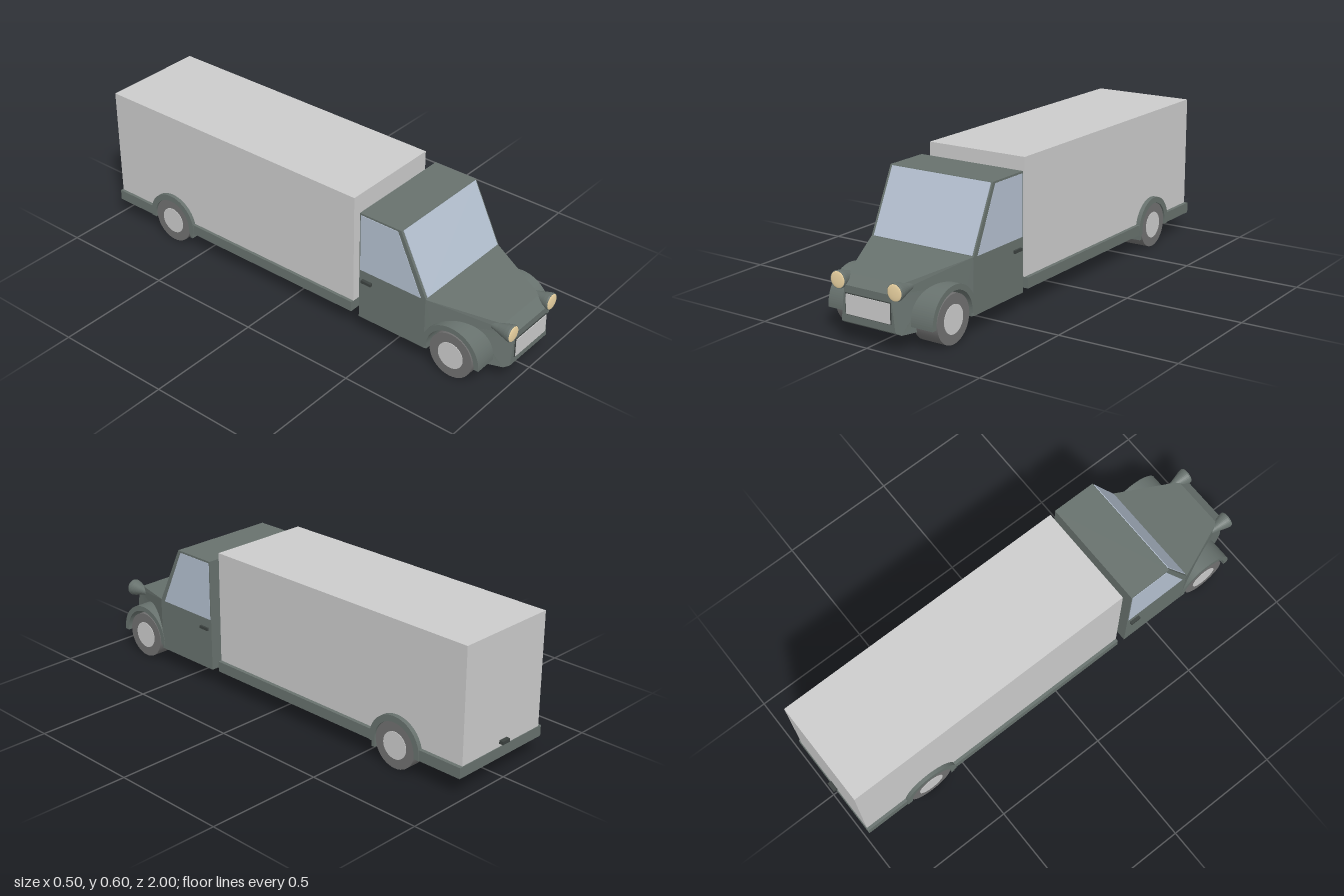
import * as THREE from 'three';

const mat = (color, extra = {}) => new THREE.MeshStandardMaterial({ color, ...extra });
const green = mat(0x67716d, { flatShading: true });
const glass = mat(0xb4c0d0);
const grey = mat(0xcccccc);
const pale = mat(0xf8f8f8);
const rubber = mat(0x707070);
const amber = mat(0xeed6a4);
const dark = mat(0x3c4240);

const WHEEL_Y = 0.098, FRONT_Z = 0.793, REAR_Z = -0.667;

export function createModel() {
  const model = new THREE.Group();

  const add = (name, geometry, material, x = 0, y = 0, z = 0) => {
    const mesh = new THREE.Mesh(geometry, material);
    mesh.name = name;
    mesh.position.set(x, y, z);
    model.add(mesh);
    return mesh;
  };

  // box given by its limits on each axis
  const block = (name, material, [x0, x1], [y0, y1], [z0, z1]) =>
    add(name, new THREE.BoxGeometry(x1 - x0, y1 - y0, z1 - z0), material,
      (x0 + x1) / 2, (y0 + y1) / 2, (z0 + z1) / 2);

  // side profile in (z, y), extruded across x from x0 to x1
  const across = (shape, x0, x1) => {
    const g = new THREE.ExtrudeGeometry(shape, { depth: x1 - x0, bevelEnabled: false, curveSegments: 24 });
    return g.rotateY(-Math.PI / 2).translate(x1, 0, 0);
  };
  const outline = (points) => new THREE.Shape(points.map(([z, y]) => new THREE.Vector2(z, y)));

  // half ring standing over a wheel
  const arch = (z, outer, inner, foot) => {
    const s = new THREE.Shape();
    s.moveTo(z + outer, foot);
    s.lineTo(z + outer, WHEEL_Y);
    s.absarc(z, WHEEL_Y, outer, 0, Math.PI, false);
    s.lineTo(z - outer, foot);
    s.lineTo(z - inner, foot);
    s.lineTo(z - inner, WHEEL_Y);
    s.absarc(z, WHEEL_Y, inner, Math.PI, 0, true);
    s.lineTo(z + inner, foot);
    return s;
  };

  // cargo box in stacked stripes
  const stripes = 10, base = 0.123, step = (0.602 - base) / stripes;
  for (let i = 0; i < stripes; i++) {
    block('cargoStripe', i % 2 ? grey : pale, [-0.227, 0.224],
      [base + i * step, base + (i + 1) * step], [-0.982, 0.315]);
  }

  // bed: centre slab with side rails notched over the rear wheels
  block('bedFloor', green, [-0.125, 0.125], [0.08, 0.125], [-0.985, 0.315]);
  const notch = 0.1;
  for (const x0 of [-0.24, 0.125]) {
    for (const z of [[REAR_Z + notch, 0.315], [-0.985, REAR_Z - notch]]) {
      block('bedRail', green, [x0, x0 + 0.115], [0.08, 0.125], z);
    }
  }
  block('coupling', grey, [-0.075, 0.07], [0.085, 0.115], [0.3, 0.37]);
  block('rearHandle', dark, [-0.03, 0.012], [0.138, 0.152], [-1, -0.98]);

  // cab
  add('cab', across(outline([
    [0.353, 0.075], [0.672, 0.075], [0.672, 0.3], [0.547, 0.558], [0.353, 0.558],
  ]), -0.239, 0.241), green);
  const windscreen = add('windscreen', new THREE.BoxGeometry(0.462, 0.278, 0.004), glass, 0.003, 0.43, 0.61);
  windscreen.rotation.x = -Math.atan2(0.125, 0.258);
  const pane = outline([[0.358, 0.3], [0.648, 0.3], [0.533, 0.55], [0.358, 0.55]]);
  for (const x of [-0.24, 0.238]) add('sideWindow', across(pane, x - 0.001, x + 0.004), glass);
  for (const side of [-1, 1]) {
    block('doorHandle', dark, side < 0 ? [-0.252, -0.236] : [0.236, 0.25], [0.249, 0.261], [0.37, 0.417]);
  }

  // bonnet with a wheel arch through it, narrowing towards the nose and the top
  const hood = new THREE.Shape();
  const well = 0.112;
  hood.moveTo(0.67, 0.075);
  hood.lineTo(FRONT_Z - well, 0.075);
  hood.lineTo(FRONT_Z - well, WHEEL_Y);
  hood.absarc(FRONT_Z, WHEEL_Y, well, Math.PI, 0, true);
  hood.lineTo(FRONT_Z + well, 0.066);
  hood.lineTo(0.965, 0.066);
  hood.lineTo(0.988, 0.08);
  hood.lineTo(0.988, 0.22);
  hood.lineTo(0.945, 0.252);
  hood.lineTo(0.67, 0.302);
  const hoodGeo = across(hood, -1, 1);
  const p = hoodGeo.attributes.position;
  for (let i = 0; i < p.count; i++) {
    const back = p.getZ(i) - 0.67;
    const half = 0.24 - back * (0.36 + 0.4 * (p.getY(i) - 0.075));
    p.setX(i, p.getX(i) * half);
  }
  hoodGeo.computeVertexNormals();
  add('bonnet', hoodGeo, green);
  block('grilleFrame', dark, [-0.102, 0.108], [0.109, 0.192], [0.98, 0.991]);
  block('grille', grey, [-0.098, 0.105], [0.112, 0.189], [0.98, 0.994]);

  // headlamps
  const shell = [[0, 0.9], [0.013, 0.905], [0.02, 0.935], [0.032, 0.975], [0.035, 0.99], [0.034, 0.996], [0, 0.996]]
    .map(([r, z]) => new THREE.Vector2(r, z));
  const shellGeo = new THREE.LatheGeometry(shell, 32).rotateX(Math.PI / 2);
  const lensGeo = new THREE.SphereGeometry(0.032, 32, 16).scale(1, 1, 0.13);
  for (const x of [-0.131, 0.131]) {
    add('headlampShell', shellGeo, green, x, 0.236, 0);
    add('headlampLens', lensGeo, amber, x, 0.236, 0.996);
  }

  // wheels, hubs, axles
  const roller = (r, w, n = 40) => new THREE.CylinderGeometry(r, r, w, n).rotateZ(Math.PI / 2);
  const tyre = roller(0.097, 0.109), hub = roller(0.057, 0.113), axle = roller(0.008, 0.3, 12);
  for (const z of [FRONT_Z, REAR_Z]) {
    for (const side of [-1, 1]) {
      add('tyre', tyre, rubber, side * 0.182, WHEEL_Y, z);
      add('hub', hub, grey, side * 0.182, WHEEL_Y, z);
    }
    add('axle', axle, grey, 0, WHEEL_Y - 0.03, z);
  }

  // mudguards
  const frontArch = arch(FRONT_Z, 0.132, 0.11, 0.09);
  const rearArch = arch(REAR_Z, 0.124, 0.098, 0.08);
  for (const side of [-1, 1]) {
    const span = (a, b) => (side > 0 ? [a, b] : [-b, -a]);
    add('frontMudguard', across(frontArch, ...span(0.14, 0.243)), green);
    add('rearMudguard', across(rearArch, ...span(0.15, 0.243)), green);
    block('mudflap', green, span(0.13, 0.24), [0.055, 0.085], [REAR_Z + 0.1, REAR_Z + 0.115]);
  }

  return model;
}
